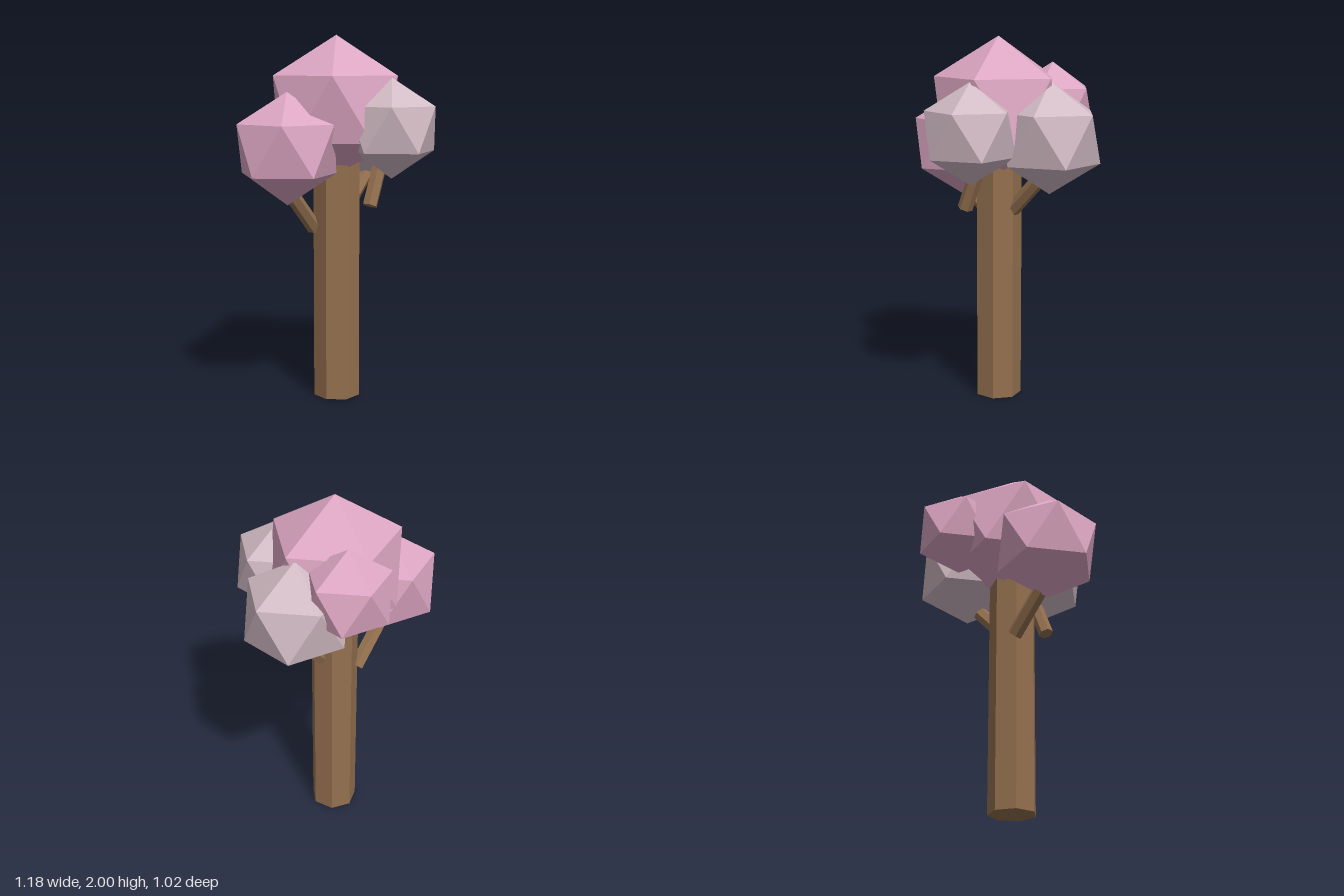
import * as THREE from 'three';

export function createModel() {
  const tree = new THREE.Group();
  tree.name = 'tree';

  const material = (name, color) => {
    const m = new THREE.MeshStandardMaterial({ color, flatShading: true });
    m.name = name;
    return m;
  };
  const bark = material('bark brown', 0x94704f);
  const pink = material('blossom pink', 0xdca6c2);
  const pale = material('pale blossom', 0xd2bbc4);

  const add = (name, geometry, mat, x, y, z) => {
    const mesh = new THREE.Mesh(geometry, mat);
    mesh.name = name;
    mesh.position.set(x, y, z);
    tree.add(mesh);
    return mesh;
  };

  // Seven-sided trunk with a flat face to the front, its top inside the crown
  const trunkHeight = 1.4;
  add('trunk', new THREE.CylinderGeometry(0.129, 0.129, trunkHeight, 7, 1, false, Math.PI),
    bark, 0, trunkHeight / 2, -0.046);

  // Hexagonal branches, each running from a low end up into a foliage ball
  const branches = [
    ['rightBranch', [-0.09, 0.95, -0.13], [-0.32, 1.2, -0.13]],
    ['leftBranch', [0.1, 1.065, -0.045], [0.32, 1.29, -0.045]],
    ['frontBranch', [-0.025, 1.095, 0.205], [0.075, 1.34, 0.205]],
  ];
  const up = new THREE.Vector3(0, 1, 0);
  for (const [name, from, to] of branches) {
    const a = new THREE.Vector3(...from);
    const b = new THREE.Vector3(...to);
    const dir = b.clone().sub(a);
    const mid = a.clone().add(b).multiplyScalar(0.5);
    const branch = add(name, new THREE.CylinderGeometry(0.041, 0.041, dir.length(), 6),
      bark, mid.x, mid.y, mid.z);
    branch.quaternion.setFromUnitVectors(up, dir.normalize());
  }

  // Foliage balls: icosahedra turned so that one corner points straight up
  const tilt = -Math.atan(2 / (1 + Math.sqrt(5)));
  const balls = [
    ['crownFoliage', pink, 0.391, 0, 1.609, -0.047],
    ['rightFoliage', pink, 0.3, -0.32, 1.4, -0.12],
    ['backFoliage', pink, 0.25, 0.177, 1.609, -0.3],
    ['leftFoliage', pale, 0.3, 0.32, 1.47, -0.083],
    ['frontFoliage', pale, 0.268, 0.073, 1.505, 0.275],
  ];
  for (const [name, mat, radius, x, y, z] of balls) {
    add(name, new THREE.IcosahedronGeometry(radius, 0).rotateZ(tilt), mat, x, y, z);
  }

  return tree;
}
